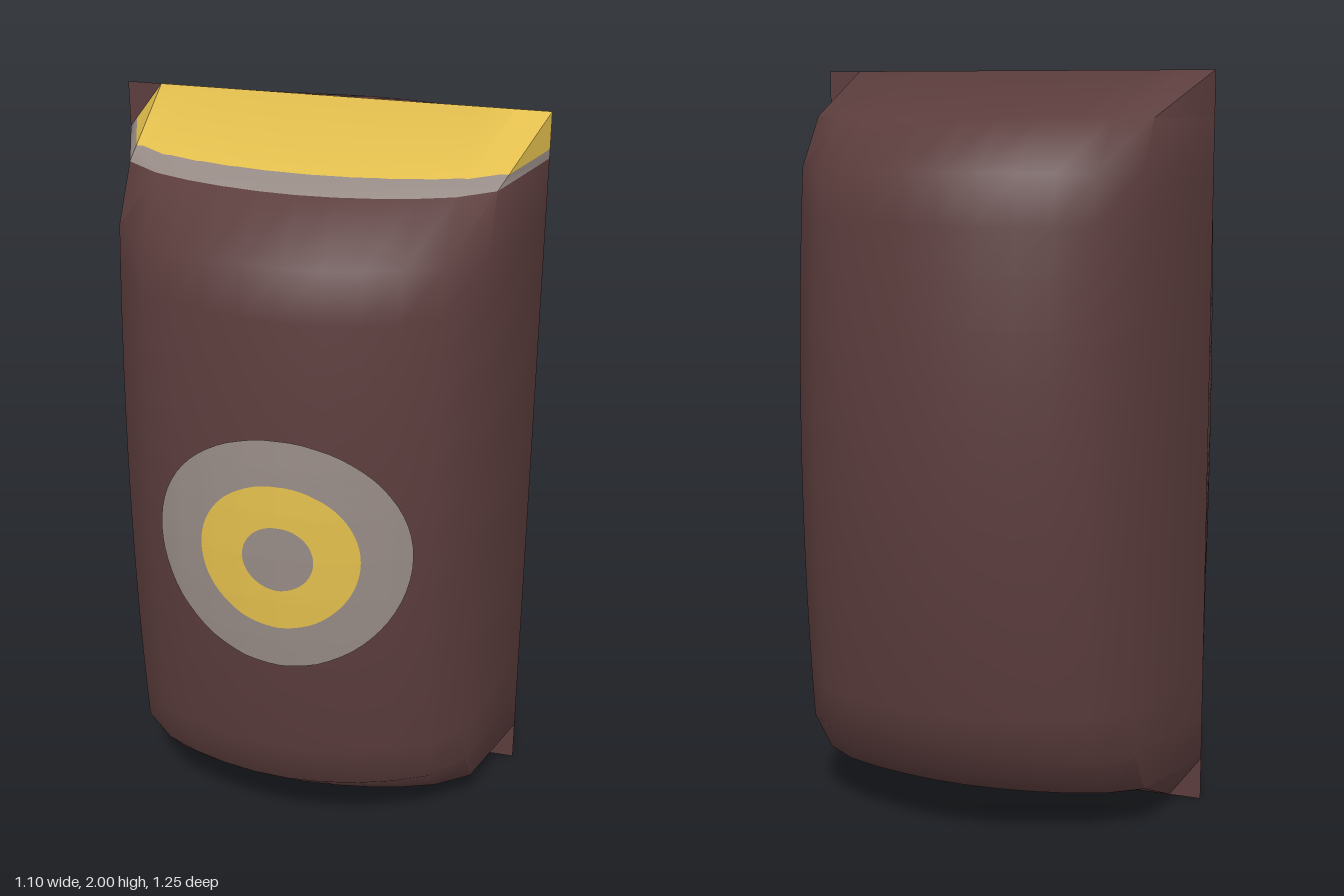
import * as THREE from 'three';
import { toCreasedNormals } from 'three/addons/utils/BufferGeometryUtils.js';

// half-section of the pouch: [x, fraction of full depth]
const SECTION = [[0.55, 0], [0.46, 0.66], [0.37, 0.82], [0.28, 0.90], [0.19, 0.953], [0.095, 0.988], [0, 1]];
// levels: [y, full depth], bottom to top
const LEVELS = [[0, 0], [0.12, 0.4]];
for (let i = 0; i <= 12; i++) {
  const y = 0.25 + i * 0.125;
  LEVELS.push([y, 0.62 - 0.07 * ((y - 1) / 0.75) ** 2]);
}
LEVELS.push([1.88, 0.4], [2, 0]);

// linear interpolation in a table of pairs
function lookup(table, v) {
  for (let i = 1; i < table.length; i++) {
    const [a, p] = table[i - 1], [b, q] = table[i];
    if ((v - a) * (v - b) <= 0) return p + (q - p) * (v - a) / (b - a);
  }
  return 0;
}

// keep the piece of a polygon with lo <= y <= hi
function clipY(poly, lo, hi) {
  for (const [limit, sign] of [[lo, 1], [hi, -1]]) {
    const out = [];
    poly.forEach((p, i) => {
      const q = poly[(i + 1) % poly.length];
      const dp = (p.y - limit) * sign, dq = (q.y - limit) * sign;
      if (dp >= 0) out.push(p);
      if (dp * dq < 0) out.push(p.clone().lerp(q, dp / (dp - dq)));
    });
    poly = out;
  }
  return poly;
}

// lofted pouch, with coloured bands on the front of both sealed ends
function pouchGeometry() {
  const front = [...SECTION, ...SECTION.slice(0, -1).reverse().map(([x, d]) => [-x, d])];
  const ring = [...front, ...front.slice(1, -1).map(([x, d]) => [-x, -d])];
  const n = ring.length;
  const faces = [[], [], []]; // wrapper, grey, yellow
  const point = (j, [y, depth]) => new THREE.Vector3(ring[j % n][0], y, ring[j % n][1] * depth);
  const add = (poly, slot) => {
    for (let k = 1; k + 1 < poly.length; k++)
      for (const p of [poly[0], poly[k], poly[k + 1]]) faces[slot].push(p.x, p.y, p.z);
  };
  const bands = [[0, 0.096, 2], [0.096, 0.12, 1], [1.88, 1.904, 1], [1.904, 2, 2]];

  for (let i = 0; i + 1 < LEVELS.length; i++) {
    const sealed = i === 0 || i === LEVELS.length - 2;
    for (let j = 0; j < n; j++) {
      const a = point(j, LEVELS[i + 1]), b = point(j + 1, LEVELS[i + 1]);
      const c = point(j + 1, LEVELS[i]), d = point(j, LEVELS[i]);
      for (const tri of [[a, b, c], [a, c, d]]) {
        const onFront = tri.some(p => p.z > 1e-6); // flat corner ears stay plain
        if (!sealed || !onFront) { add(tri, 0); continue; }
        for (const [lo, hi, slot] of bands) add(clipY(tri, lo, hi), slot);
      }
    }
  }

  const geometry = new THREE.BufferGeometry();
  geometry.setAttribute('position', new THREE.Float32BufferAttribute(faces.flat(), 3));
  let start = 0;
  faces.forEach((f, slot) => {
    geometry.addGroup(start, f.length / 3, slot);
    start += f.length / 3;
  });
  return toCreasedNormals(geometry, 0.85);
}

// ring of the round emblem, bent onto the front of the pouch
function emblemRing(inner, outer) {
  const geometry = new THREE.RingGeometry(inner, outer, 64, 8);
  const pos = geometry.attributes.position;
  for (let i = 0; i < pos.count; i++) {
    const x = pos.getX(i), y = pos.getY(i) + 1;
    pos.setXYZ(i, x, y, lookup(SECTION, Math.abs(x)) * lookup(LEVELS, y) + 0.005);
  }
  geometry.computeVertexNormals();
  return geometry;
}

export function createModel() {
  const material = (name, color) => {
    const m = new THREE.MeshStandardMaterial({ color, side: THREE.DoubleSide });
    m.name = name;
    return m;
  };
  const brown = material('brown wrapper', 0x5b3c3c);
  const grey = material('warm grey', 0x968a85);
  const yellow = material('golden yellow', 0xe2be4d);

  const group = new THREE.Group();
  group.name = 'snackBag';
  const add = (name, geometry, mat) => {
    const mesh = new THREE.Mesh(geometry, mat);
    mesh.name = name;
    group.add(mesh);
  };

  add('bag', pouchGeometry(), [brown, grey, yellow]);
  add('emblemOuterRing', emblemRing(0.207, 0.33), grey);
  add('emblemMiddleRing', emblemRing(0.092, 0.207), yellow);
  add('emblemCentre', emblemRing(0, 0.092), grey);
  return group;
}
